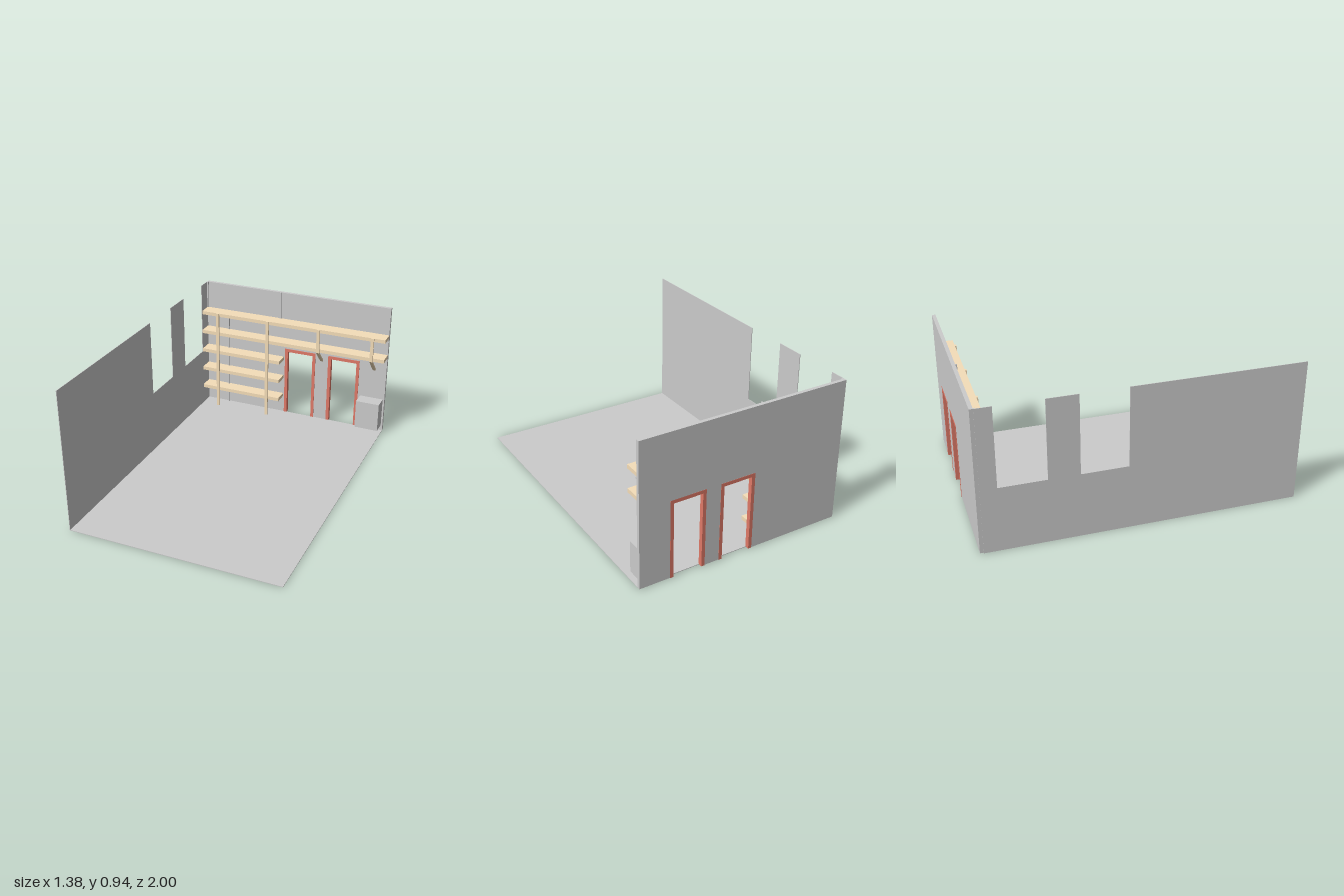
import * as THREE from 'three';

const grey = new THREE.MeshStandardMaterial({ color: 0xcccccc });
const wood = new THREE.MeshStandardMaterial({ color: 0xf5deb9 });
const red = new THREE.MeshStandardMaterial({ color: 0xe07a68 });

const W = 0.69, H = 0.94;
const WALL_FRONT = -0.976, SHELF_FRONT = -0.879, POST_FRONT = -0.868;
const DOORS = [[-0.07, 0.163], [0.26, 0.493]];
const DOOR_TOP = 0.515, FRAME = 0.022;

// Box given by its limits on each axis
function block(name, material, [x0, x1], [y0, y1], [z0, z1]) {
  const mesh = new THREE.Mesh(new THREE.BoxGeometry(x1 - x0, y1 - y0, z1 - z0), material);
  mesh.position.set((x0 + x1) / 2, (y0 + y1) / 2, (z0 + z1) / 2);
  mesh.name = name;
  return mesh;
}

// Extruded outline from a list of corners
function slab(name, material, points, depth) {
  const shape = new THREE.Shape(points.map(([x, y]) => new THREE.Vector2(x, y)));
  const mesh = new THREE.Mesh(new THREE.ExtrudeGeometry(shape, { depth, bevelEnabled: false }), material);
  mesh.name = name;
  return mesh;
}

// Back wall outline, running round the two doorways
function backWall() {
  const y0 = 0.004;
  const points = [[-W, y0]];
  for (const [a, b] of DOORS) {
    points.push([a + 0.01, y0], [a + 0.01, DOOR_TOP - 0.01], [b - 0.01, DOOR_TOP - 0.01], [b - 0.01, y0]);
  }
  points.push([W, y0], [W, H], [-W, H]);
  const wall = slab('backWall', grey, points, 0.023);
  wall.position.z = -0.999;
  return wall;
}

// Side wall drawn with -z along the shape's x, with two tall window gaps
function sideWall() {
  const sill = 0.425;
  const wall = slab('sideWall', grey, [
    [-1, 0], [0.976, 0], [0.976, H], [0.875, H], [0.875, sill], [0.583, sill],
    [0.583, H], [0.39, H], [0.39, sill], [0.097, sill], [0.097, H], [-1, H],
  ], 0.004);
  wall.rotation.y = Math.PI / 2;
  wall.position.x = -W - 0.002;
  return wall;
}

// Three-sided door surround
function doorFrame([a, b]) {
  const t = DOOR_TOP, f = FRAME;
  const frame = slab('doorFrame', red, [
    [a, 0.002], [a + f, 0.002], [a + f, t - f], [b - f, t - f],
    [b - f, 0.002], [b, 0.002], [b, t], [a, t],
  ], 0.028);
  frame.position.z = -1;
  return frame;
}

export function createModel() {
  const model = new THREE.Group();
  model.name = 'storeRoom';

  // Room shell
  model.add(block('floor', grey, [-W, W], [0, 0.004], [WALL_FRONT, 1]));
  model.add(sideWall(), backWall());
  DOORS.forEach((door) => model.add(doorFrame(door)));

  // Slim panel strips on the back wall
  const stripZ = [WALL_FRONT, -0.966];
  model.add(block('horizontalStrip', grey, [-W, W], [0.703, 0.714], stripZ));
  model.add(block('upperStrip', grey, [-W, -0.678], [0.714, H], stripZ));
  model.add(block('upperStrip', grey, [-0.115, -0.106], [0.714, H], stripZ));
  model.add(block('lowerStrip', grey, [-0.522, -0.512], [0.004, 0.703], stripZ));

  // Shelves: two long ones above the doors, three short ones below
  const shelves = [[0.72, W], [0.572, W], [0.424, -0.08], [0.276, -0.08], [0.128, -0.08]];
  for (const [y, right] of shelves) {
    model.add(block('shelf', wood, [-W, right], [y, y + 0.025], [WALL_FRONT, SHELF_FRONT]));
  }

  // Tall posts reaching the floor
  const postZ = [SHELF_FRONT, POST_FRONT];
  for (const x of [-0.563, -0.174]) {
    model.add(block('tallPost', wood, [x - 0.011, x + 0.011], [0.004, 0.745], postZ));
  }

  // Short hangers with a diagonal brace back to the wall
  for (const x of [0.211, 0.601]) {
    model.add(block('shortPost', wood, [x - 0.011, x + 0.011], [0.572, 0.745], postZ));
    const brace = slab('brace', wood, [
      [-POST_FRONT, 0.572], [-SHELF_FRONT + 0.004, 0.572], [-WALL_FRONT, 0.479], [-WALL_FRONT, 0.464],
    ], 0.022);
    brace.rotation.y = Math.PI / 2;
    brace.position.x = x - 0.011;
    model.add(brace);
  }

  // Wall-mounted cabinet beside the doors
  model.add(block('cabinet', grey, [0.511, 0.678], [0.044, 0.25], [WALL_FRONT, -0.877]));

  return model;
}
